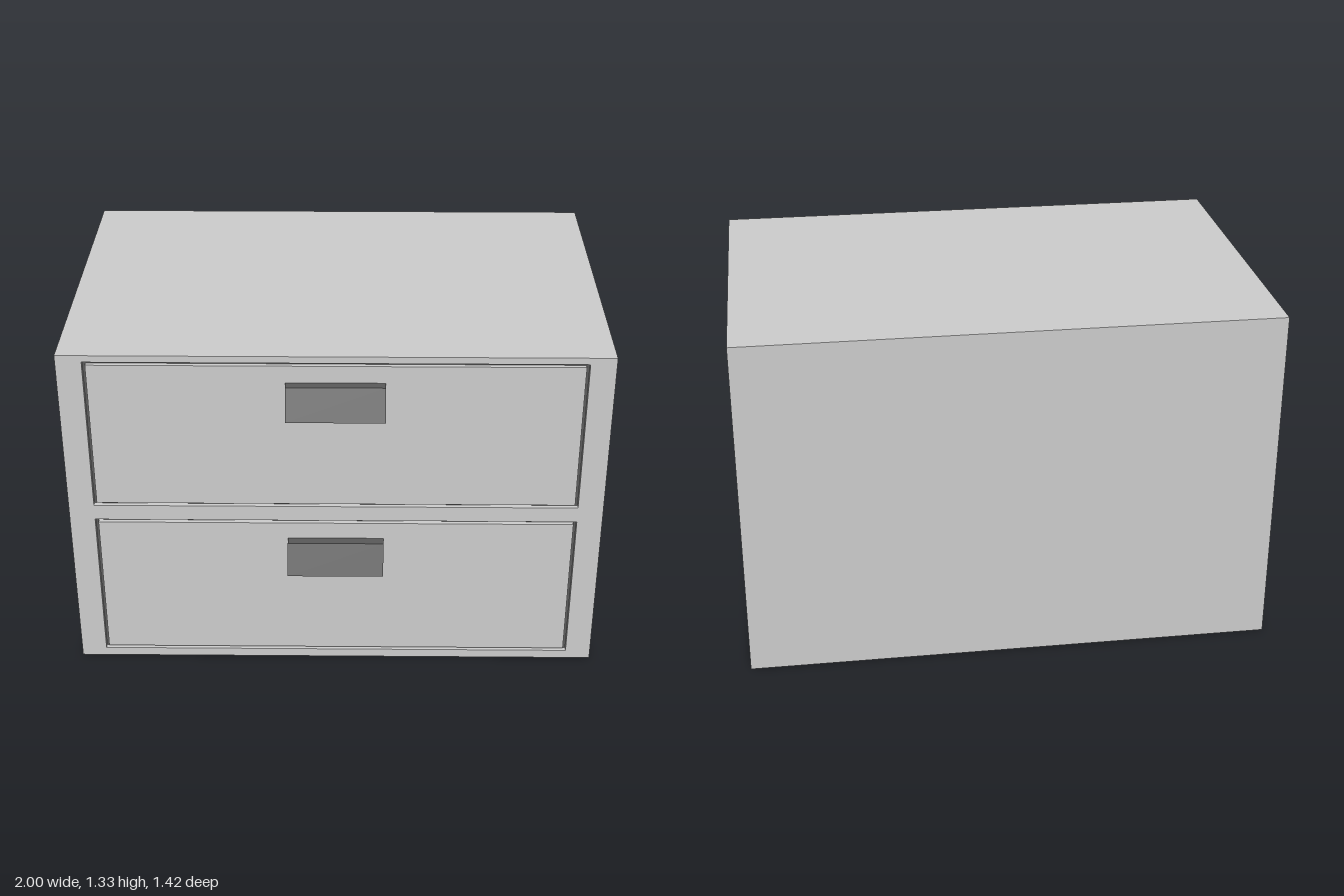
import * as THREE from 'three';

const W = 2, H = 1.333, BACK = -0.71, FRONT = 0.625;
const REVEAL = 0.02, GAP = 0.012;                 // groove depth and width
const DRAWER_W = 1.81, DRAWER_H = 0.605;          // drawer opening
const BOTTOMS = { lower: 0.035, upper: 0.702 };   // opening bottoms

const grey = new THREE.MeshStandardMaterial({ color: 0xcccccc });
const dark = new THREE.MeshStandardMaterial({ color: 0x595959 });

function add(parent, name, geometry, material, x = 0, y = 0, z = 0) {
  const mesh = new THREE.Mesh(geometry, material);
  mesh.name = name;
  mesh.position.set(x, y, z);
  parent.add(mesh);
  return mesh;
}

function rectPoints(w, y0, y1) {
  return [[-w / 2, y0], [w / 2, y0], [w / 2, y1], [-w / 2, y1]].map(p => new THREE.Vector2(...p));
}

// Wedge-shaped pull: deep at its lower edge, sloping back towards the top
function handleGeometry() {
  const width = 0.36;
  const side = new THREE.Shape([[0, 0], [0.085, 0], [0.037, 0.117], [0, 0.117]].map(p => new THREE.Vector2(...p)));
  return new THREE.ExtrudeGeometry(side, { depth: width, bevelEnabled: false })
    .translate(0, 0, -width / 2)
    .rotateY(-Math.PI / 2);
}

export function createModel() {
  const model = new THREE.Group();
  model.name = 'drawerCabinet';

  // Closed carcass behind the face frame
  const depth = FRONT - REVEAL - BACK;
  add(model, 'carcass', new THREE.BoxGeometry(W, H, depth), grey, 0, H / 2, BACK + depth / 2);

  // Face frame with one opening per drawer
  const frame = new THREE.Shape(rectPoints(W, 0, H));
  for (const y of Object.values(BOTTOMS)) frame.holes.push(new THREE.Path(rectPoints(DRAWER_W, y, y + DRAWER_H)));
  add(model, 'faceFrame', new THREE.ExtrudeGeometry(frame, { depth: REVEAL, bevelEnabled: false }), grey, 0, 0, FRONT - REVEAL);

  const handle = handleGeometry();
  for (const [name, y] of Object.entries(BOTTOMS)) {
    const drawer = new THREE.Group();
    drawer.name = name + 'Drawer';
    drawer.position.set(0, y, FRONT);
    model.add(drawer);

    // Dark shadow gap around a flush drawer front
    add(drawer, 'shadowGap', new THREE.PlaneGeometry(DRAWER_W, DRAWER_H), dark, 0, DRAWER_H / 2, -REVEAL + 0.002);
    add(drawer, 'drawerFront', new THREE.BoxGeometry(DRAWER_W - 2 * GAP, DRAWER_H - 2 * GAP, REVEAL), grey, 0, DRAWER_H / 2, -REVEAL / 2);
    add(drawer, 'handle', handle, dark, 0, 0.409, 0);
  }
  return model;
}
